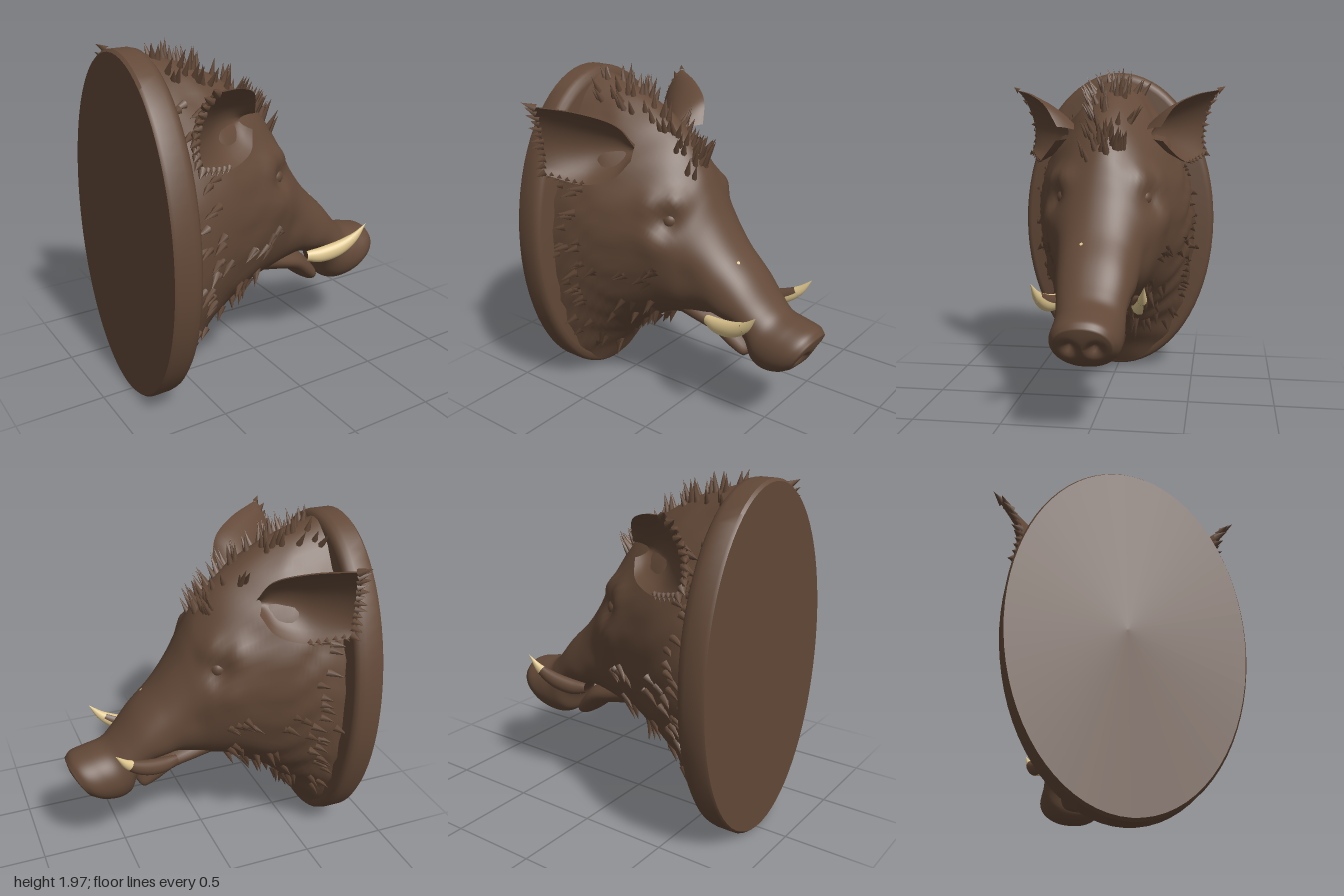
import * as THREE from 'three';
import { mergeGeometries, toCreasedNormals } from 'three/addons/utils/BufferGeometryUtils.js';

const V = (x, y, z) => new THREE.Vector3(x, y, z);
const TAU = Math.PI * 2;

let seed = 7;
const rand = (a, b) => {
  seed = (seed * 16807) % 2147483647;
  return a + (b - a) * seed / 2147483647;
};

// Skin a list of rings of points
function loft(rings, closed = true) {
  const n = rings[0].length, idx = [];
  for (let i = 0; i < rings.length - 1; i++) {
    for (let j = 0; j < (closed ? n : n - 1); j++) {
      const k = (j + 1) % n, a = i * n, b = a + n;
      idx.push(a + j, a + k, b + j, a + k, b + k, b + j);
    }
  }
  const g = new THREE.BufferGeometry().setFromPoints(rings.flat());
  g.setIndex(idx);
  g.computeVertexNormals();
  return g;
}

// Mirror across the head's middle plane, keeping faces outward
function mirrorZ(geo) {
  const g = geo.clone().scale(1, 1, -1);
  const ix = g.index.array;
  for (let i = 0; i < ix.length; i += 3) [ix[i], ix[i + 1]] = [ix[i + 1], ix[i]];
  return g;
}

// Rows: top x, top y, bottom x, bottom y, half width; pinch narrows the crown
function sectionSurface(rows, pinch) {
  const top = new THREE.CatmullRomCurve3(rows.map(r => V(r[0], r[1], r[4])));
  const bot = new THREE.CatmullRomCurve3(rows.map(r => V(r[2], r[3], 0)));
  return (u, a) => {
    const t = top.getPoint(u), b = bot.getPoint(u), c = Math.cos(a), s = Math.sin(a);
    const k = (1 + c) / 2;
    const narrow = 1 - pinch * THREE.MathUtils.clamp((0.6 - u) / 0.25, 0, 1) * Math.max(0, c) ** 2;
    const w = t.z * narrow * Math.sign(s) * Math.pow(Math.abs(s), 0.9);
    return V(b.x + (t.x - b.x) * k, b.y + (t.y - b.y) * k, w);
  };
}

const HEAD = [
  [-0.67, 1.91, -0.67, 0.03, 0.5], [-0.55, 1.87, -0.55, 0.22, 0.49], [-0.4, 1.82, -0.4, 0.38, 0.46],
  [-0.2, 1.71, -0.25, 0.47, 0.405], [-0.05, 1.59, -0.12, 0.54, 0.36], [0.06, 1.44, 0, 0.57, 0.315],
  [0.12, 1.32, 0.08, 0.59, 0.28], [0.185, 1.19, 0.15, 0.61, 0.255], [0.29, 1.04, 0.22, 0.63, 0.23],
  [0.42, 0.91, 0.33, 0.61, 0.205], [0.53, 0.78, 0.42, 0.52, 0.19], [0.6, 0.72, 0.46, 0.41, 0.19],
  [0.7, 0.695, 0.52, 0.375, 0.19], [0.79, 0.67, 0.62, 0.385, 0.18], [0.82, 0.635, 0.69, 0.42, 0.155],
];
const JAW = [
  [-0.2, 0.85, -0.2, 0.58, 0.16], [0.1, 0.7, 0.06, 0.555, 0.17], [0.28, 0.62, 0.2, 0.515, 0.15],
  [0.37, 0.53, 0.3, 0.44, 0.12], [0.42, 0.46, 0.375, 0.4, 0.085], [0.415, 0.43, 0.4, 0.41, 0.02],
];
// Sculpted bumps and hollows: x, y, |z|, radius, height
const BUMPS = [
  [0.02, 1.3, 0.23, 0.075, 0.035], [-0.1, 1.29, 0.3, 0.07, 0.025], [-0.01, 1.2, 0.27, 0.08, -0.045],
  [-0.06, 1.08, 0.32, 0.08, 0.02], [0.3, 0.7, 0.2, 0.09, 0.02], [0.12, 0.9, 0.25, 0.09, -0.015],
];
const base = sectionSurface(HEAD, 0.4);

function normalAt(u, a) {
  const e = 0.004;
  const da = base(u, a + e).sub(base(u, a - e));
  const du = base(Math.min(1, u + e), a).sub(base(Math.max(0, u - e), a));
  return da.cross(du).normalize();
}

function headPoint(u, a) {
  const p = base(u, a);
  let h = 0;
  for (const [x, y, z, r, amp] of BUMPS) {
    const d = (p.x - x) ** 2 + (p.y - y) ** 2 + (Math.abs(p.z) - z) ** 2;
    h += amp * Math.exp(-d / (r * r));
  }
  // Soft folds of hide on the neck
  h += 0.014 * Math.max(0, 1 - u / 0.3) * Math.sin(p.y * 32 + p.x * 9 + Math.sin(p.x * 14) * 1.5) * Math.abs(Math.sin(a));
  return p.addScaledVector(normalAt(u, a), h);
}

function headGeometry() {
  const n = 64, rings = [];
  for (let i = 0; i <= 90; i++) {
    rings.push(Array.from({ length: n }, (_, j) => headPoint(i / 90, j / n * TAU)));
  }
  // Snout disc with two nostril hollows
  const rim = rings[90], c = V(0.755, 0.5275, 0), nrm = V(0.86, -0.51, 0);
  for (const s of [0.96, 0.88, 0.78, 0.68, 0.58, 0.48, 0.38, 0.28, 0.18, 0.08, 0]) {
    rings.push(rim.map(p => {
      const q = c.clone().lerp(p, s);
      const d = (q.y - 0.52) ** 2 + (Math.abs(q.z) - 0.065) ** 2;
      return q.addScaledVector(nrm, 0.025 * (1 - s * s) - 0.05 * Math.exp(-d / 0.0012));
    }));
  }
  return loft(rings);
}

function jawGeometry() {
  const f = sectionSurface(JAW, 0), rings = [];
  for (let i = 0; i <= 24; i++) rings.push(Array.from({ length: 28 }, (_, j) => f(i / 24, j / 28 * TAU)));
  rings.push(rings[24].map(() => V(0.412, 0.42, 0)));
  return loft(rings);
}

// Ear: a cupped leaf with a thick back
const earTop = new THREE.CatmullRomCurve3([V(-0.19, 1.6, 0.31), V(-0.24, 1.72, 0.39), V(-0.39, 1.79, 0.51), V(-0.6, 1.825, 0.65)]);
const earLow = new THREE.CatmullRomCurve3([V(-0.21, 1.52, 0.32), V(-0.27, 1.43, 0.4), V(-0.42, 1.385, 0.47), V(-0.64, 1.43, 0.57)]);
function earPoint(u, v, back) {
  const cup = 0.05 + 0.1 * Math.sin(Math.PI * Math.min(1, u * 0.85 + 0.1));
  const depth = cup * Math.pow(Math.sin(Math.PI * v), 0.7) + back * (0.02 + 0.06 * Math.sin(Math.PI * v) * (1 - u));
  return earTop.getPoint(u).lerp(earLow.getPoint(u), v).addScaledVector(V(-0.6, 0, -0.8), depth);
}
function earGeometry() {
  const m = 16, rings = [];
  for (let i = 0; i <= 18; i++) {
    const ring = [];
    for (let j = 0; j <= m; j++) ring.push(earPoint(i / 18, j / m, 1));
    for (let j = m; j >= 0; j--) ring.push(earPoint(i / 18, j / m, 0));
    rings.push(ring);
  }
  // Close the outer end between front and back skins
  rings.push(rings[18].map((p, j) => p.clone().lerp(rings[18][2 * m + 1 - j], 0.5)));
  const g = toCreasedNormals(loft(rings), 1.0);
  return g.setIndex([...Array(g.attributes.position.count).keys()]);
}

// Part of a tapered tusk, t along and a around
const tuskPath = new THREE.CatmullRomCurve3([V(0.23, 0.655, 0.215), V(0.32, 0.65, 0.235), V(0.43, 0.675, 0.26), V(0.53, 0.73, 0.28), V(0.605, 0.81, 0.295)]);
function tuskPart(t0, t1, a0, a1) {
  const rings = [];
  for (let i = 0; i <= 14; i++) {
    const t = t0 + (t1 - t0) * i / 14, c = tuskPath.getPoint(t), T = tuskPath.getTangent(t);
    const N = V(0, 0, 1).cross(T).normalize(), B = T.clone().cross(N);
    const r = 0.048 * Math.sin(Math.PI * (0.2 + 0.8 * t));
    rings.push(Array.from({ length: 13 }, (_, j) => {
      const a = a0 + (a1 - a0) * j / 12;
      return c.clone().addScaledVector(N, r * Math.cos(a)).addScaledVector(B, 0.8 * r * Math.sin(a));
    }));
  }
  return loft(rings, false);
}

function spike(p, dir, len, r) {
  const g = new THREE.ConeGeometry(r, len, 6, 1, true).translate(0, len / 2 - 0.02, 0);
  g.applyQuaternion(new THREE.Quaternion().setFromUnitVectors(V(0, 1, 0), dir.normalize()));
  return g.translate(p.x, p.y, p.z);
}

// Scatter hair locks over a patch of the head
function hair(count, [u0, u1], [a0, a1], lean, lift, [l0, l1], r) {
  const out = [];
  for (let i = 0; i < count; i++) {
    const u = rand(u0, u1), a = rand(a0, a1) * (i % 2 ? 1 : -1);
    const d = normalAt(u, a).multiplyScalar(lift).add(lean).add(V(rand(-0.15, 0.15), rand(-0.15, 0.15), rand(-0.15, 0.15)));
    out.push(spike(headPoint(u, a), d, rand(l0, l1), r));
  }
  return mergeGeometries(out);
}

export function createModel() {
  const group = new THREE.Group();
  const hide = new THREE.MeshStandardMaterial({ color: 0x634938 });
  const ivory = new THREE.MeshStandardMaterial({ color: 0xdfc78f });
  hide.name = 'brown hide';
  ivory.name = 'ivory';
  const add = (name, geo, mat = hide) => {
    const m = new THREE.Mesh(geo, mat);
    m.name = name;
    group.add(m);
  };

  // Oval wall plaque with a rounded front edge
  const prof = [[0, -0.83], [0.985, -0.83], [1, -0.815], [1, -0.72], [0.992, -0.69], [0.97, -0.672], [0.94, -0.667], [0, -0.667]];
  const plaque = new THREE.LatheGeometry(prof.map(p => new THREE.Vector2(...p)), 72)
    .rotateZ(-Math.PI / 2).scale(1, 0.97, 0.62).translate(0, 0.97, 0);
  add('plaque', toCreasedNormals(plaque, 0.7));

  add('head', headGeometry());
  add('lowerJaw', jawGeometry());

  // Hair: crest, brow tuft, neck ruff, cheeks and throat
  add('crest', hair(60, [0.02, 0.34], [0, 0.5], V(-0.2, 0.25, 0), 0.7, [0.09, 0.14], 0.021));
  add('browTuft', hair(14, [0.28, 0.36], [0, 0.5], V(0, 0.7, 0), 0.6, [0.1, 0.16], 0.02));
  add('neckRuff', hair(60, [0.01, 0.1], [0.7, 2.4], V(-0.8, -0.3, 0), 0.45, [0.07, 0.11], 0.025));
  add('cheekHair', hair(24, [0.1, 0.32], [1.8, 2.05], V(-0.7, -0.5, 0), 0.2, [0.08, 0.12], 0.024));
  add('throatHair', hair(44, [0.04, 0.3], [2.3, 3.14], V(-0.3, -0.4, 0), 0.2, [0.08, 0.13], 0.024));

  // Hair along the outer rim of an ear
  const fringe = [];
  for (let i = 0; i <= 11; i++) {
    fringe.push(spike(earPoint(1, i / 11, 0.5), V(-0.5, 0.35 - i / 16, 0.3 + rand(0, 0.4)), rand(0.05, 0.085), 0.024));
  }
  for (let i = 0; i < 5; i++) fringe.push(spike(earPoint(0.7 + i * 0.06, 1, 0.5), V(-0.5, -0.4, 0.5), 0.05, 0.016));

  const ear = earGeometry(), earFringe = mergeGeometries(fringe);
  const eye = new THREE.SphereGeometry(0.05, 20, 14).translate(-0.015, 1.2, 0.225);
  const lid = new THREE.TorusGeometry(0.052, 0.018, 8, 20, Math.PI * 1.05).scale(1.3, 0.8, 1)
    .rotateZ(-0.2).rotateY(0.6).translate(-0.015, 1.205, 0.25);

  // Tusk strips: t from, t to, angle from, angle to, stained on near and far side
  const tuskParts = {
    TuskOuterFace: [0, 0.72, -0.5, 2.8, ivory, hide],
    TuskInnerFace: [0, 0.72, -1.6, -0.5, hide, hide],
    TuskUnderside: [0, 0.72, 2.8, TAU - 1.6, ivory, ivory],
    TuskTip: [0.72, 1, 0, TAU, ivory, ivory],
  };
  ['near', 'far'].forEach((side, s) => {
    const f = s ? mirrorZ : g => g;
    add(side + 'Ear', f(ear));
    add(side + 'EarFringe', f(earFringe));
    add(side + 'Eye', f(eye));
    add(side + 'Eyelid', f(lid));
    for (const [name, p] of Object.entries(tuskParts)) add(side + name, f(tuskPart(...p.slice(0, 4))), p[4 + s]);
  });

  // Small pale fleck on the bridge of the snout
  const fleck = new THREE.CircleGeometry(0.01, 10);
  const n = normalAt(0.6, 0.3), at = headPoint(0.6, 0.3).addScaledVector(n, 0.003);
  fleck.applyQuaternion(new THREE.Quaternion().setFromUnitVectors(V(0, 0, 1), n)).translate(at.x, at.y, at.z);
  add('snoutFleck', fleck, ivory);
  return group;
}
